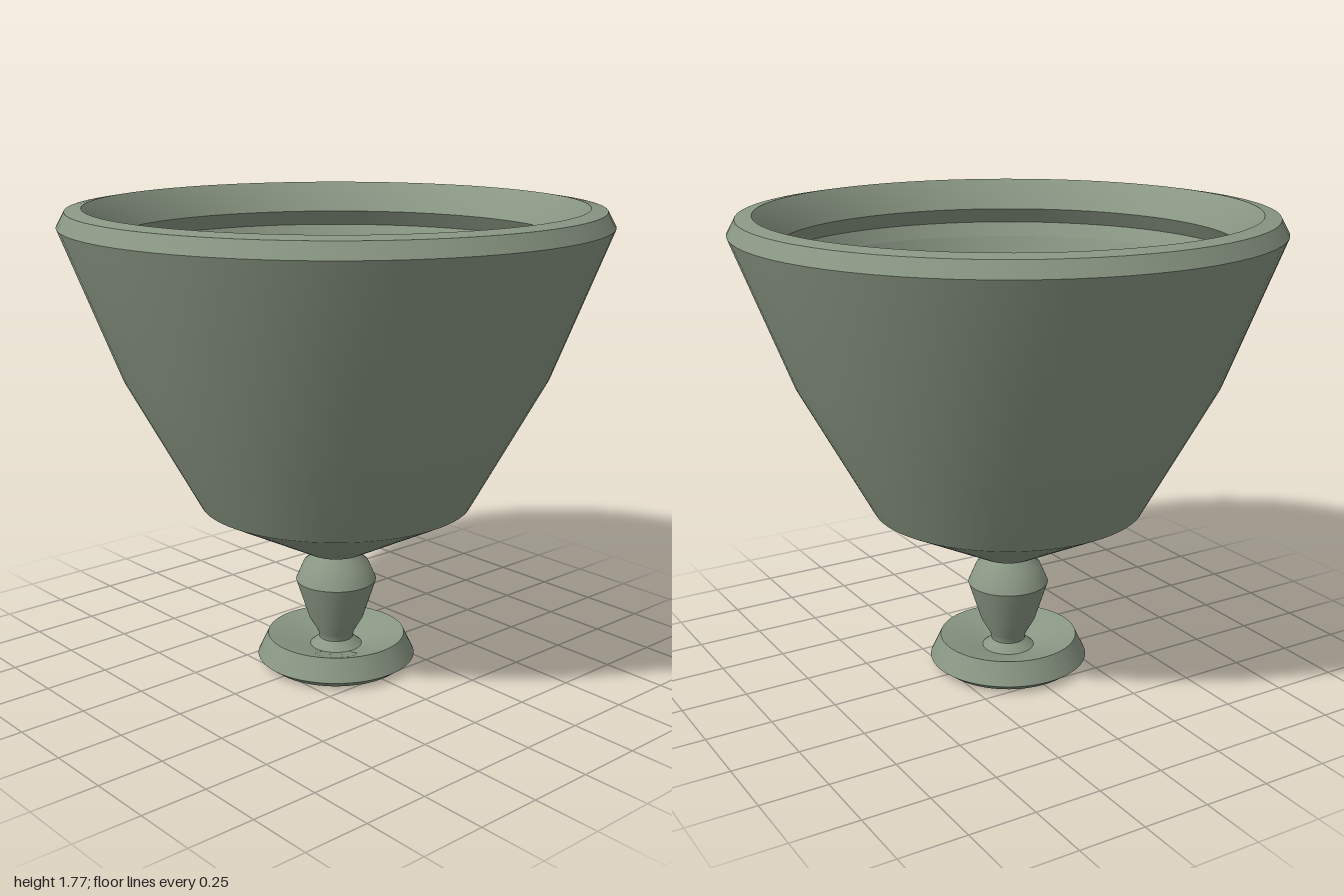
import * as THREE from 'three';

const SEGMENTS = 72;

// Revolves smooth profile runs [radius, height]; a crease stays sharp between runs.
function turned(name, material, runs) {
  const group = new THREE.Group();
  group.name = name;
  for (const [part, points] of Object.entries(runs)) {
    const profile = points.map(([r, y]) => new THREE.Vector2(r, y));
    const mesh = new THREE.Mesh(new THREE.LatheGeometry(profile, SEGMENTS), material);
    mesh.name = part;
    group.add(mesh);
  }
  return group;
}

export function createModel() {
  const stone = new THREE.MeshStandardMaterial({ color: 0x8a9784, side: THREE.DoubleSide });
  stone.name = 'grey green';

  const model = new THREE.Group();
  model.name = 'goblet';

  // Foot: bevelled disc with a dished top
  model.add(turned('foot', stone, {
    footUnderside: [[0, 0.005], [0.265, 0.005]],
    footLowerBevel: [[0.265, 0.005], [0.305, 0.035]],
    footSide: [[0.305, 0.035], [0.265, 0.12]],
    footDish: [[0.265, 0.12], [0.19, 0.1], [0.1, 0.07]],
  }));

  // Stem: tapered shaft under a rounded knob
  model.add(turned('stem', stone, {
    stemCollar: [[0.1, 0.07], [0.065, 0.1]],
    stemShaft: [[0.065, 0.1], [0.07, 0.125], [0.105, 0.185], [0.155, 0.34]],
    stemKnob: [[0.155, 0.34], [0.125, 0.41], [0.075, 0.45], [0.075, 0.46]],
  }));

  // Cup: hollow bowl with a bevelled rim and an undercut groove inside
  model.add(turned('cup', stone, {
    cupBase: [[0, 0.455], [0.11, 0.455]],
    cupUnderside: [[0.11, 0.455], [0.515, 0.665]],
    cupWall: [[0.515, 0.665], [0.79, 1.17], [1, 1.715]],
    rimBevel: [[1, 1.715], [0.97, 1.77]],
    rimTop: [[0.97, 1.77], [0.91, 1.78]],
    rimInside: [[0.91, 1.78], [0.87, 1.73], [0.833, 1.665]],
    grooveRoof: [[0.833, 1.665], [0.87, 1.605]],
    grooveLip: [[0.87, 1.605], [0.84, 1.55]],
    cupInterior: [[0.84, 1.55], [0.7, 1.18], [0.46, 0.7]],
    cupFloor: [[0.46, 0.7], [0, 0.7]],
  }));

  return model;
}
